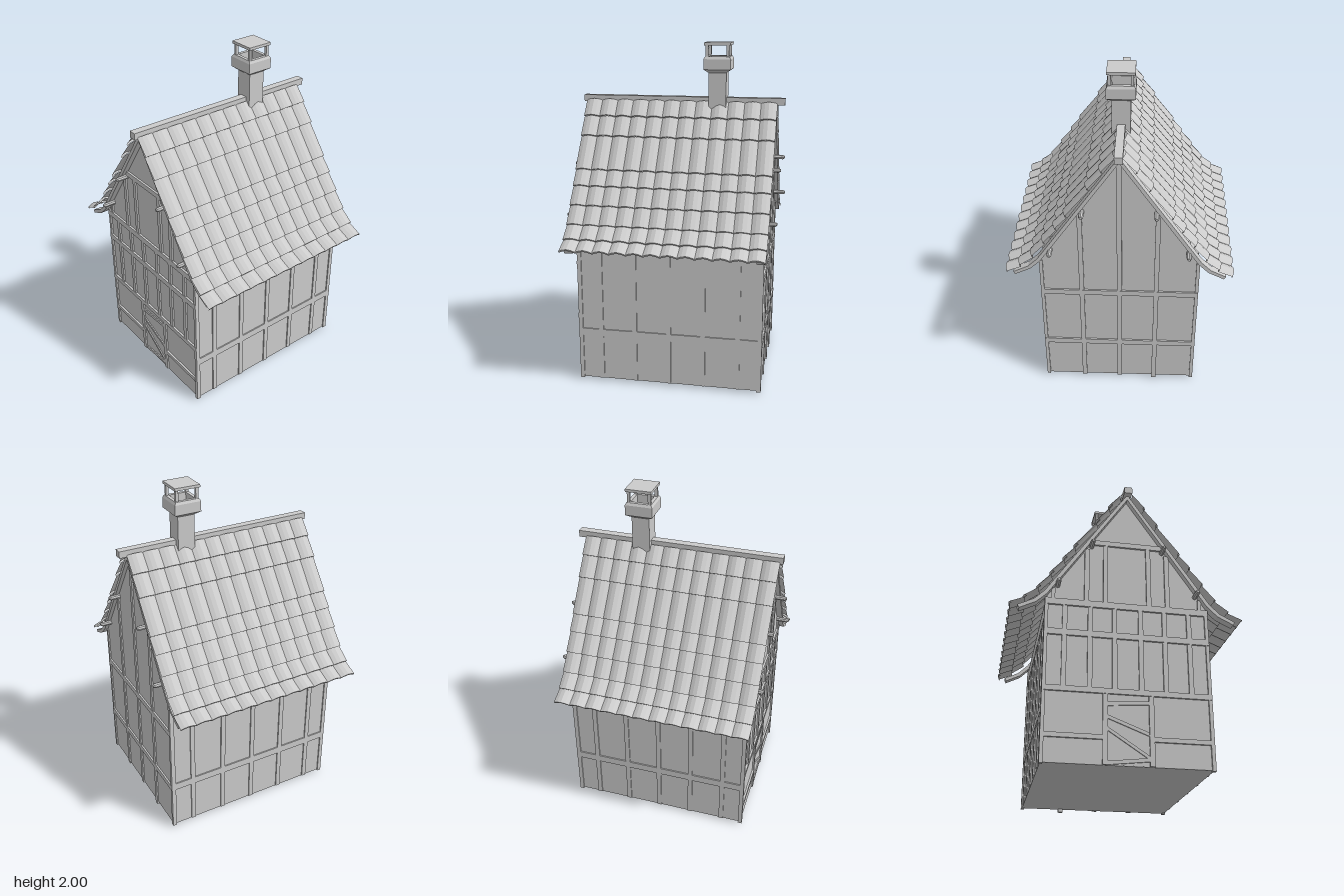
import * as THREE from 'three';

const mat = new THREE.MeshStandardMaterial({ color: 0xcccccc, flatShading: true, side: THREE.DoubleSide });

function add(parent, name, geo, x = 0, y = 0, z = 0) {
  const m = new THREE.Mesh(geo, mat);
  m.name = name;
  m.position.set(x, y, z);
  parent.add(m);
  return m;
}

// Box given by its limits on each axis
function block(parent, name, x0, x1, y0, y1, z0, z1) {
  return add(parent, name, new THREE.BoxGeometry(x1 - x0, y1 - y0, z1 - z0),
    (x0 + x1) / 2, (y0 + y1) / 2, (z0 + z1) / 2);
}

// Flat outline pushed along z from z0 to z1
function slab(parent, name, pts, z0, z1) {
  const shape = new THREE.Shape(pts.map(p => new THREE.Vector2(p[0], p[1])));
  return add(parent, name, new THREE.ExtrudeGeometry(shape, { depth: z1 - z0, bevelEnabled: false }), 0, 0, z0);
}

function group(parent, name) {
  const g = new THREE.Group();
  g.name = name;
  parent.add(g);
  return g;
}

const FRONT = 0.54, BACK = -0.545, SIDE = 0.46;

// Slope of the tiles, as x and y from ridge to eaves
const slope = [[0.02, 1.65], [0.17, 1.43], [0.34, 1.185], [0.48, 0.985], [0.56, 0.91], [0.64, 0.862]];
function slopeY(x) {
  let i = 0;
  while (i < slope.length - 2 && x > slope[i + 1][0]) i++;
  const [x0, y0] = slope[i], [x1, y1] = slope[i + 1];
  return y0 + (y1 - y0) * (x - x0) / (x1 - x0);
}

// One course of ribbed tiles: upper edge, raised lower edge and a lip
function tileCourse(xa, xb, s) {
  const cols = 12, z0 = -0.572, width = 1.16 / cols;
  const rib = [0, 0.012, 0.018, 0.012];
  const ya = slopeY(xa), yb = slopeY(xb);
  const len = Math.hypot(xb - xa, yb - ya);
  const nx = (ya - yb) / len, ny = (xb - xa) / len;
  const edges = [[xa, ya, 0], [xb, yb, 0.014], [xb, yb, 0.002]];
  const pos = [], index = [], n = cols * 4 + 1;
  edges.forEach(([x, y, lift]) => {
    for (let j = 0; j < n; j++) {
      const h = lift + rib[j % 4];
      pos.push(s * (x + nx * h), y + ny * h, z0 + width * j / 4);
    }
  });
  for (let i = 0; i < 2; i++) {
    for (let j = 0; j < n - 1; j++) {
      const a = i * n + j, b = a + 1, c = a + n, d = c + 1;
      if (s > 0) index.push(a, b, c, b, d, c);
      else index.push(a, c, b, b, c, d);
    }
  }
  const geo = new THREE.BufferGeometry();
  geo.setAttribute('position', new THREE.Float32BufferAttribute(pos, 3));
  geo.setIndex(index);
  const flat = geo.toNonIndexed();
  flat.computeVertexNormals();
  return flat;
}

function buildFront(house) {
  const g = group(house, 'frontTimbers');
  const z0 = FRONT - 0.02, z1 = FRONT + 0.004;
  const post = (x, y0, y1, w = 0.027) => block(g, 'frontPost', x - w / 2, x + w / 2, y0, y1, z0, z1);
  const rail = (x0, x1, y0, y1) => block(g, 'frontRail', x0, x1, y0, y1, z0, z1 + 0.002);
  rail(-SIDE, SIDE, 0.4, 0.43);
  rail(-SIDE, SIDE, 0.72, 0.755);
  rail(-SIDE, SIDE, 0.9, 0.937);
  rail(-0.215, 0.215, 1.3, 1.33);
  for (const s of [-1, 1]) {
    for (const x of [0.073, 0.208, 0.348]) post(s * x, 0.43, 0.9);
    post(s * 0.123, 0.937, 1.3);
    post(s * 0.23, 0.937, 1.27);
    post(s * 0.415, 0.937, 1.0, 0.02);
    post(s * 0.124, 0.02, 0.4);
    rail(Math.min(s * 0.137, s * 0.44), Math.max(s * 0.137, s * 0.44), 0.15, 0.175);
  }

  // Door leaf with crooked boards
  const door = group(house, 'door');
  block(door, 'doorLeaf', -0.11, 0.11, 0.02, 0.4, FRONT - 0.02, FRONT - 0.005);
  for (const [ya, yb] of [[0.345, 0.362], [0.275, 0.19], [0.21, 0.065], [0.03, 0.055]]) {
    slab(door, 'doorBoard', [[-0.11, ya - 0.01], [0.11, yb - 0.01], [0.11, yb + 0.01], [-0.11, ya + 0.01]],
      FRONT - 0.01, FRONT + 0.002);
  }
}

function buildBack(house) {
  const g = group(house, 'backTimbers');
  const z0 = BACK - 0.005, z1 = BACK + 0.02;
  for (const [x, y0, y1] of [[0.22, 0.015, 1.29], [0, 0.015, 1.6], [-0.215, 0, 1.29]])
    block(g, 'backPost', x - 0.014, x + 0.014, y0, y1, z0, z1);
  for (const y of [0.29, 0.69]) block(g, 'backRail', -SIDE, SIDE, y, y + 0.035, z0 - 0.002, z1);
}

function buildSides(house) {
  const g = group(house, 'sideTimbers');
  for (const s of [-1, 1]) {
    const x0 = Math.min(s * 0.44, s * SIDE), x1 = Math.max(s * 0.44, s * SIDE);
    for (let i = -2; i <= 2; i++) block(g, 'sidePost', x0, x1, 0.02, 0.84, i * 0.204 - 0.014, i * 0.204 + 0.014);
    block(g, 'sideRail', x0, x1, 0.29, 0.335, -0.53, 0.53);
    block(g, 'wallPlate', x0, x1, 0.82, 0.9, -0.53, 0.53);
    block(g, 'frontCornerPost', x0, x1, 0.012, 0.94, FRONT - 0.02, FRONT + 0.004);
    block(g, 'backCornerPost', x0, x1, 0.012, 0.94, BACK - 0.005, BACK + 0.02);
  }
}

function buildRoof(house) {
  const g = group(house, 'roof');
  const courses = [0.02, 0.085, 0.16, 0.285, 0.345, 0.415, 0.485, 0.56, 0.64];
  for (const s of [-1, 1]) {
    for (let i = 0; i < courses.length - 1; i++)
      add(g, 'tileCourse', tileCourse(courses[i], courses[i + 1], s));
    // Kinked end rafters under the tiles
    const rafter = [[0, 1.615], [0.45, 0.95], [0.51, 0.892], [0.6, 0.848],
      [0.61, 0.866], [0.522, 0.91], [0.466, 0.965], [0, 1.65]].map(([x, y]) => [s * x, y]);
    slab(g, 'frontRafter', rafter, 0.52, 0.57);
    slab(g, 'backRafter', rafter, -0.565, -0.52);
    // Purlins with projecting ends
    for (const [x, y] of [[0.205, 1.29], [0.392, 1.02]]) {
      const p = add(g, 'purlin', new THREE.CylinderGeometry(0.014, 0.014, 1.2, 8), s * x, y, 0);
      p.rotation.x = Math.PI / 2;
      for (const e of [-1, 1]) {
        const tip = add(g, 'purlinTip', new THREE.CylinderGeometry(0.008, 0.014, 0.012, 8), s * x, y, e * 0.606);
        tip.rotation.x = e * Math.PI / 2;
      }
    }
  }
  block(g, 'ridgeBeam', -0.023, 0.023, 1.64, 1.68, -0.615, 0.605);
}

function buildChimney(house) {
  const g = group(house, 'chimney');
  g.position.z = -0.218;
  const profile = [[0.052, 1.55], [0.052, 1.825], [0.08, 1.845], [0.08, 1.905], [0.072, 1.92],
    [0.052, 1.92], [0.052, 1.84], [0, 1.84]];
  // Square stack: a four-sided lathe
  add(g, 'stack', new THREE.LatheGeometry(
    profile.map(([r, y]) => new THREE.Vector2(r * Math.SQRT2, y)), 4, Math.PI / 4));
  for (const x of [-0.061, 0.061])
    for (const z of [-0.061, 0.061])
      add(g, 'capPost', new THREE.BoxGeometry(0.016, 0.07, 0.016), x, 1.95, z);
  add(g, 'capSlab', new THREE.BoxGeometry(0.154, 0.016, 0.154), 0, 1.992, 0);
}

export function createModel() {
  const house = new THREE.Group();
  house.name = 'timberHouse';
  // Plastered walls with gables
  slab(house, 'walls', [[-0.453, 0.018], [0.453, 0.018], [0.453, 0.945], [0, 1.62], [-0.453, 0.945]],
    BACK + 0.003, FRONT - 0.006);
  buildFront(house);
  buildBack(house);
  buildSides(house);
  buildRoof(house);
  buildChimney(house);
  return house;
}
